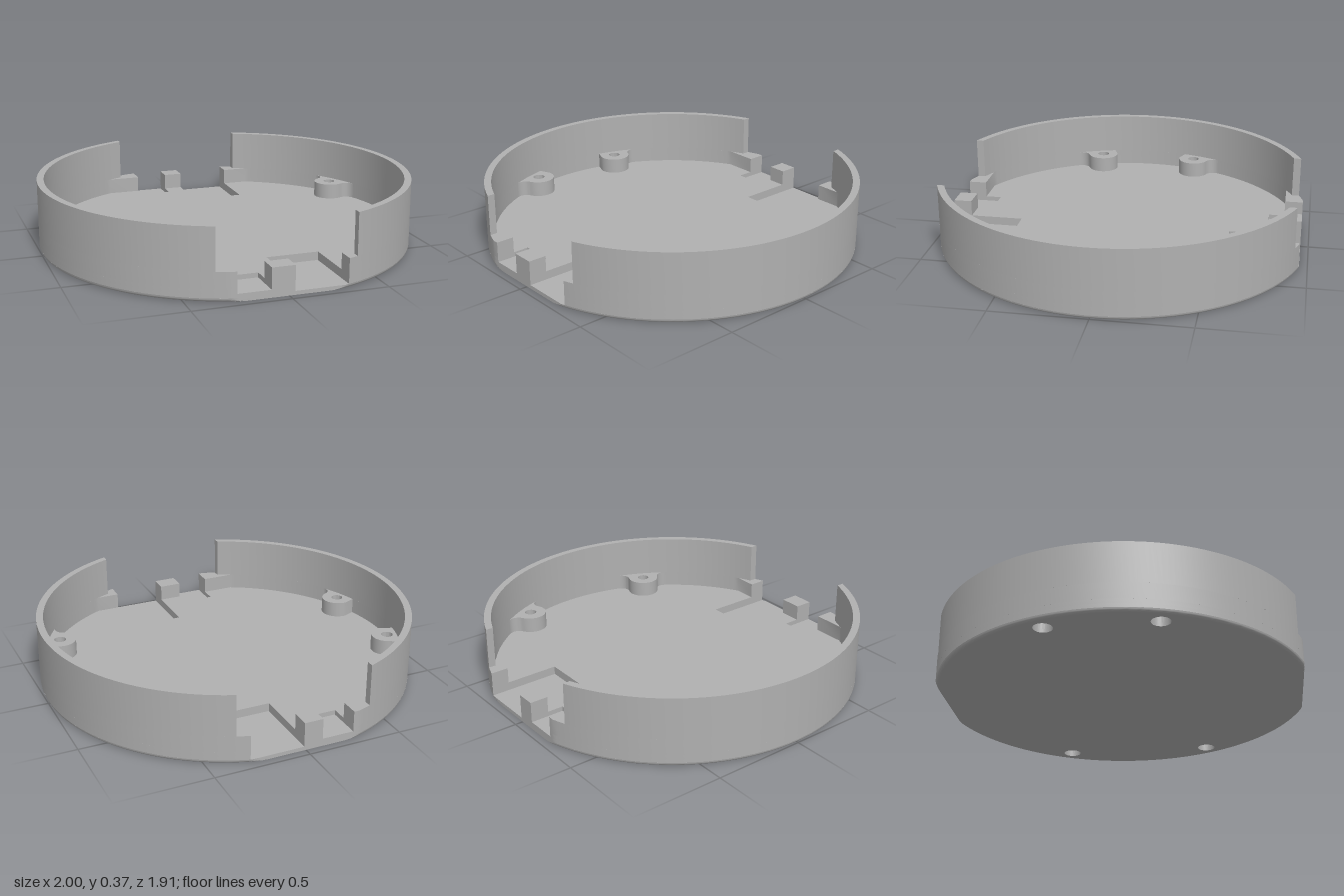
import * as THREE from 'three';
import { toCreasedNormals } from 'three/addons/utils/BufferGeometryUtils.js';

const R = 1, RI = 0.963, FLAT = 0.957, RAIL = 0.86, SEG = 160;
const FILLET = 0.02, FLOOR = 0.065, LEDGE = 0.15, TOP = 0.37;
const BORE = 0.049, HOLE = 0.032, BOSS = 0.087;

// Edge notches: [x0, x1, inner z, side of z]
const deep = [[0.03, 0.31, 0.575, 1], [0.01, 0.295, 0.575, -1]];
const shallow = [[-0.26, -0.09, 0.775, 1], [-0.26, -0.09, 0.775, -1]];

// Screw bosses: [x, z, whether the edge nearest the x axis is flared]
const bosses = [[-0.865, 0.28, false], [-0.865, -0.28, false], [0.805, 0.405, true], [0.805, -0.405, true]];

const edgeZ = (x) => Math.min(FLAT, Math.sqrt(Math.max(0, R * R - x * x)));

export function createModel() {
  const model = new THREE.Group();
  model.name = 'roundTray';
  const grey = new THREE.MeshStandardMaterial({ color: 0xb0b0b0, side: THREE.DoubleSide });
  grey.name = 'grey plastic';

  const add = (name, geometry) => {
    const mesh = new THREE.Mesh(geometry, grey);
    mesh.name = name;
    model.add(mesh);
    return mesh;
  };
  // Plan shape (x, z) raised from y0 to y1
  const slab = (name, shape, y0, y1) => {
    const g = new THREE.ExtrudeGeometry(shape, { depth: y1 - y0, bevelEnabled: false, curveSegments: 32 });
    g.rotateX(Math.PI / 2).translate(0, y1, 0);
    return add(name, toCreasedNormals(g, 0.5));
  };
  const toShape = (pts) => new THREE.Shape(pts.map(([x, z]) => new THREE.Vector2(x, z)));
  const circle = (x, z, r) => new THREE.Path().absarc(x, z, r, 0, Math.PI * 2, true);
  const drill = (shape) => {
    bosses.forEach(([x, z]) => shape.holes.push(circle(x, z, BORE)));
    return shape;
  };

  // Disc with two flats and open notches
  const floorShape = (notches) => {
    const edge = (side) => {
      const mine = notches.filter((n) => n[3] === side);
      const xs = [-Math.sqrt(1 - FLAT * FLAT), Math.sqrt(1 - FLAT * FLAT)];
      for (let i = 0; i <= SEG / 2; i++) xs.push(-Math.cos((Math.PI * i) / (SEG / 2)));
      const pts = xs.filter((x) => !mine.some(([a, b]) => x >= a && x <= b)).map((x) => [x, side * edgeZ(x)]);
      mine.forEach(([a, b, d]) =>
        pts.push([a, side * edgeZ(a)], [a, side * d], [b, side * d], [b, side * edgeZ(b)]));
      return pts.sort((p, q) => p[0] - q[0]);
    };
    return drill(toShape([...edge(1), ...edge(-1).reverse().slice(1, -1)]));
  };

  // Base plate: flat underside, rounded rim, slot floor
  const ring = (r) => Array.from({ length: SEG * 2 }, (_, i) => {
    const a = (i / (SEG * 2)) * Math.PI * 2;
    return [r * Math.cos(a), THREE.MathUtils.clamp(r * Math.sin(a), -FLAT, FLAT)];
  });
  add('underside', new THREE.ShapeGeometry(drill(toShape(ring(R - FILLET))), 32).rotateX(Math.PI / 2));
  add('slotFloor', new THREE.ShapeGeometry(drill(toShape(ring(R))), 32).rotateX(-Math.PI / 2).translate(0, FILLET, 0));
  const pos = [], idx = [], steps = 5, n = SEG * 2;
  for (let s = 0; s <= steps; s++) {
    const a = (s / steps) * Math.PI / 2;
    ring(R - FILLET + FILLET * Math.sin(a)).forEach(([x, z]) => pos.push(x, FILLET * (1 - Math.cos(a)), z));
  }
  for (let s = 0; s < steps; s++) for (let i = 0; i < n; i++) {
    const a = s * n + i, b = s * n + (i + 1) % n;
    idx.push(a, a + n, b, a + n, b + n, b);
  }
  const rim = new THREE.BufferGeometry();
  rim.setAttribute('position', new THREE.Float32BufferAttribute(pos, 3));
  rim.setIndex(idx);
  add('roundedRim', toCreasedNormals(rim, 0.5));

  // Floor layers, stepped by the slots
  slab('lowerFloor', floorShape(deep), FILLET, 0.04);
  slab('upperFloor', floorShape([...deep, ...shallow]), 0.04, FLOOR);

  // Wall of one half (s = side of x), ending at |x| = xf in front and xb behind
  const arc = (r, a0, a1, s) => Array.from({ length: 81 }, (_, i) => {
    const a = a0 + ((a1 - a0) * i) / 80;
    return [s * r * Math.cos(a), r * Math.sin(a)];
  });
  const corner = Math.asin(FLAT), railAngle = Math.asin(RAIL / RI);
  const lowerWall = (s, xf, xb) => {
    const end = (x) => Math.min(corner, Math.acos(x));
    const pts = [...arc(R, end(xf), -end(xb), s)];
    if (xb < Math.cos(corner)) pts.push([s * xb, -FLAT]);
    pts.push([s * xb, -RAIL], ...arc(RI, -railAngle, railAngle, s), [s * xf, RAIL]);
    if (xf < Math.cos(corner)) pts.push([s * xf, FLAT]);
    return toShape(pts);
  };
  slab('leftLowerWall', lowerWall(1, 0.31, 0.295), FLOOR, LEDGE);
  slab('rightLowerWall', lowerWall(-1, 0.26, 0.26), FLOOR, LEDGE);
  const ao = Math.acos(0.36), ai = Math.acos(0.36 / RI);
  for (const s of [1, -1]) {
    slab(s > 0 ? 'leftWall' : 'rightWall', toShape([...arc(R, ao, -ao, s), ...arc(RI, -ai, ai, s)]), LEDGE, TOP);
  }

  // Posts between the slots
  for (const [x1, side] of [[0.03, 1], [0.01, -1]]) {
    const post = add(side > 0 ? 'frontPost' : 'backPost',
      new THREE.BoxGeometry(x1 + 0.09, LEDGE - FLOOR, FLAT - RAIL));
    post.position.set((x1 - 0.09) / 2, (LEDGE + FLOOR) / 2, side * (FLAT + RAIL) / 2);
  }

  // Screw bosses: round nose flared into the wall, laid out along +x then turned into place
  const f = 0.05;
  for (const [x, z, flared] of bosses) {
    const d = Math.hypot(x, z), turn = Math.atan2(z, x);
    const cx = (d * d + (RI - f) ** 2 - (BOSS + f) ** 2) / (2 * d);
    const cz = Math.sqrt((RI - f) ** 2 - cx * cx);
    const t = Math.atan2(cz, cx - d), w = Math.atan2(cz, cx);
    const flare = [];
    for (let i = 0; i <= 10; i++) {
      const a = w + ((t + Math.PI - w) * i) / 10;
      flare.push([cx + f * Math.cos(a), cz + f * Math.sin(a)]);
    }
    // the flare turns back from the wall to the nose
    const sweep = t - Math.PI - w;
    const side = flare.map((_, i) => {
      const a = w + (sweep * i) / 10;
      return [cx + f * Math.cos(a), cz + f * Math.sin(a)];
    });
    const nose = Array.from({ length: 25 }, (_, i) => {
      const a = t + ((Math.PI * 2 - 2 * t) * i) / 24;
      return [d + BOSS * Math.cos(a), BOSS * Math.sin(a)];
    });
    const mirrored = side.map(([px, pz]) => [px, -pz]).reverse();
    const plain = [[Math.sqrt(0.975 ** 2 - 0.08 ** 2), 0.08]];
    const near = z * x > 0 ? -1 : 1;
    const up = flared || near < 0 ? side : plain;
    const down = flared || near > 0 ? mirrored : plain.map(([px, pz]) => [px, -pz]);
    // small overlap into the wall
    const pts = [[0.975, 0], ...up, ...nose.slice(1, -1), ...down];
    const turned = pts.map(([px, pz]) => {
      const q = x < 0 ? -pz : pz; // keep the plain side towards the x axis
      const v = x < 0 ? -q : q;
      return [px * Math.cos(turn) - v * Math.sin(turn), px * Math.sin(turn) + v * Math.cos(turn)];
    });
    const shape = toShape(turned);
    shape.holes.push(circle(x, z, HOLE));
    slab('screwBoss', shape, FLOOR, LEDGE);
    const bore = add('screwBore', new THREE.CylinderGeometry(BORE, BORE, FILLET, 32, 1, true));
    bore.position.set(x, FILLET / 2, z);
  }
  return model;
}
